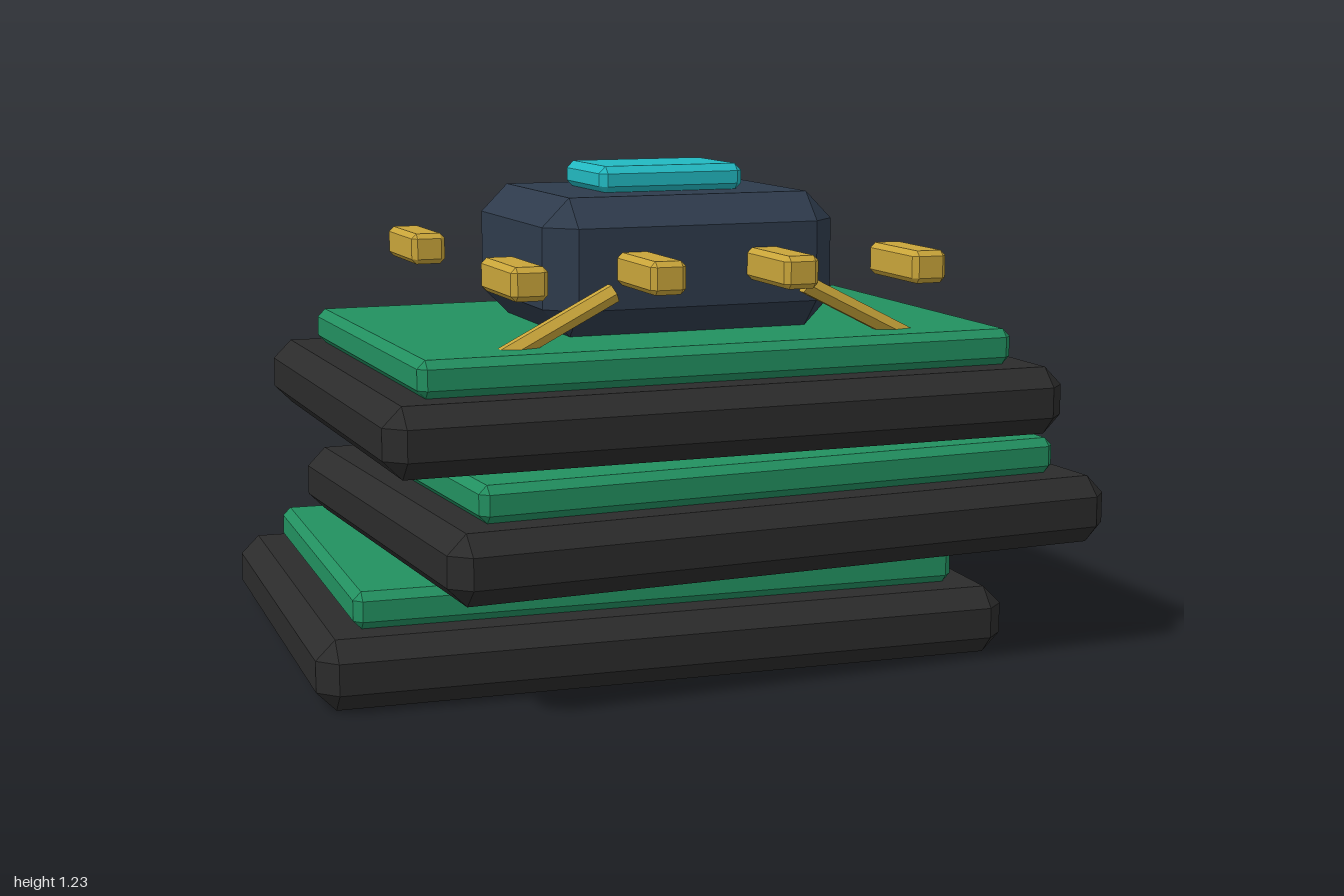
import * as THREE from 'three';
import { ConvexGeometry } from 'three/addons/geometries/ConvexGeometry.js';

const mat = (name, color) => Object.assign(new THREE.MeshStandardMaterial({ color, flatShading: true }), { name });

// Box with every edge and corner cut flat by c
function chamferBox(w, h, d, c) {
  const points = [];
  for (const x of [-1, 1]) for (const y of [-1, 1]) for (const z of [-1, 1]) {
    const a = w / 2, b = h / 2, e = d / 2;
    points.push(
      new THREE.Vector3(x * a, y * (b - c), z * (e - c)),
      new THREE.Vector3(x * (a - c), y * b, z * (e - c)),
      new THREE.Vector3(x * (a - c), y * (b - c), z * e));
  }
  return new ConvexGeometry(points);
}

export function createModel() {
  const black = mat('black tray', 0x2b2b2b);
  const green = mat('green board', 0x229060);
  const navy = mat('navy chip', 0x2e3b4c);
  const gold = mat('gold contact', 0xc9a53a);
  const cyan = mat('cyan core', 0x22b9c1);

  const model = new THREE.Group();
  model.name = 'circuitStack';
  const add = (parent, name, geometry, material, x, y, z) => {
    const mesh = new THREE.Mesh(geometry, material);
    mesh.name = name;
    mesh.position.set(x, y, z);
    parent.add(mesh);
    return mesh;
  };

  // Three trays with boards, each shifted and slightly twisted
  const trayGeometry = chamferBox(1.75, 0.17, 1.24, 0.047);
  const boardGeometry = chamferBox(1.54, 0.09, 1.03, 0.02);
  const layers = [[-0.098, -0.07, -0.05], [0.098, 0.078, 0.048], [0.01, 0.01, 0]];
  layers.forEach(([x, z, turn], i) => {
    const layer = new THREE.Group();
    layer.name = `layer${i + 1}`;
    layer.position.set(x, i * 0.28, z);
    layer.rotation.y = turn;
    add(layer, 'tray', trayGeometry, black, 0, 0.085, 0);
    add(layer, 'board', boardGeometry, green, 0, 0.215, 0);
    model.add(layer);
  });

  // Chip and its glowing core on the top board
  const top = new THREE.Group();
  top.name = 'chipAssembly';
  top.position.set(0.01, 0, 0.01);
  model.add(top);
  add(top, 'chip', chamferBox(0.77, 0.34, 0.64, 0.07), navy, 0, 0.99, 0);
  add(top, 'core', chamferBox(0.385, 0.068, 0.28, 0.018), cyan, 0, 1.191, 0);

  // Four contact pins on the front and back
  const pinGeometry = chamferBox(0.09, 0.08, 0.255, 0.013);
  for (const side of [1, -1]) {
    for (let i = 0; i < 4; i++) {
      add(top, side > 0 ? 'frontPin' : 'backPin', pinGeometry, gold, (i - 1.5) * 0.342, 0.99, side * 0.427);
    }
  }

  // Slanted wires running down into the board
  const wireLength = 0.36;
  const wireGeometry = new THREE.CylinderGeometry(0.025, 0.025, wireLength, 6);
  for (const side of [1, -1]) {
    const dir = new THREE.Vector3(side * 0.295, -0.15, 0).normalize();
    const wire = add(top, side > 0 ? 'leftWire' : 'rightWire', wireGeometry, gold, side * 0.252, 0.942, 0.39);
    wire.position.addScaledVector(dir, wireLength / 2);
    wire.rotation.z = Math.atan2(-dir.x, dir.y);
  }
  return model;
}
